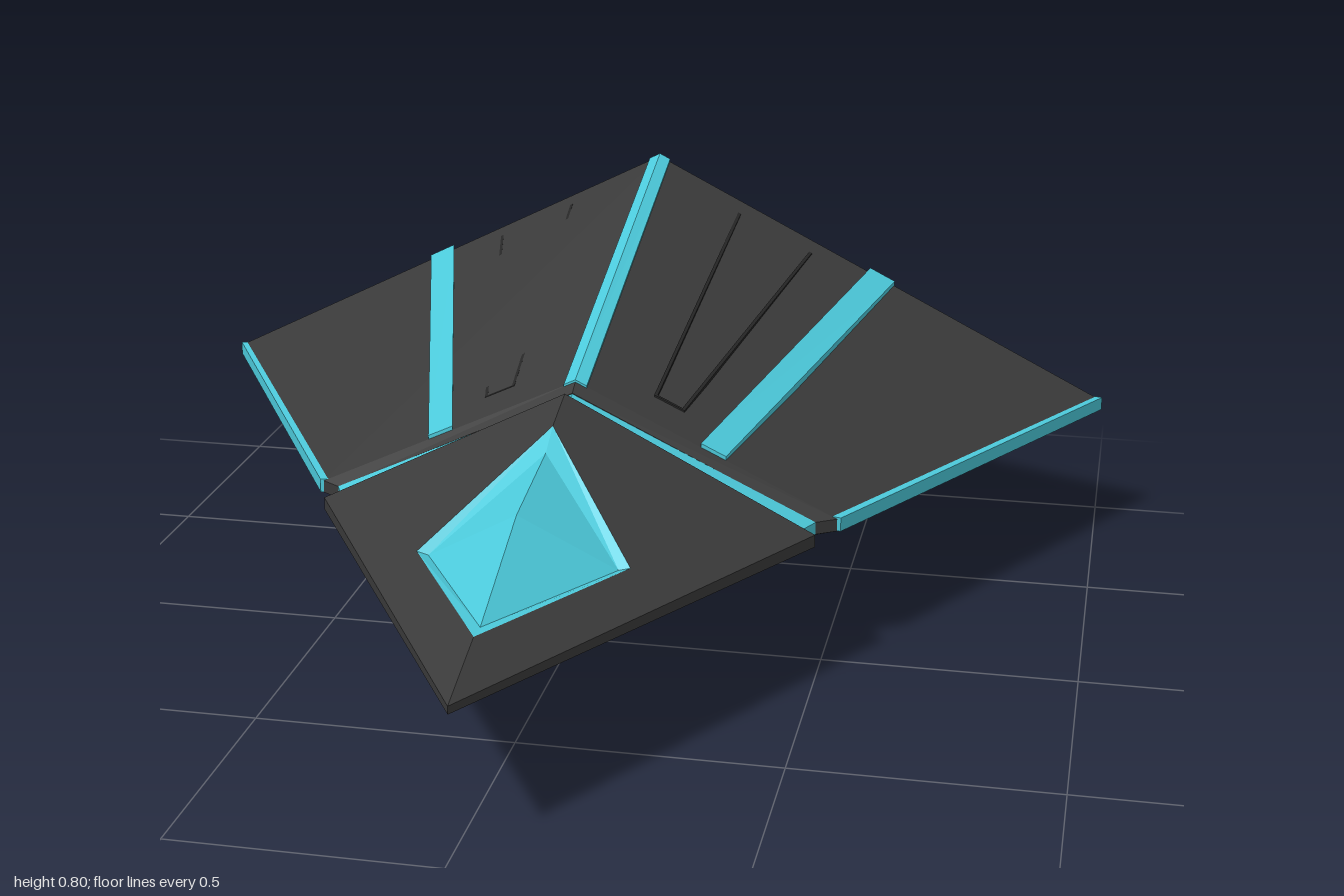
import * as THREE from 'three';

const hullGrey = new THREE.MeshStandardMaterial({ color: 0x3a3a3a });
hullGrey.name = 'hull grey';
const seamBlack = new THREE.MeshStandardMaterial({ color: 0x262626 });
seamBlack.name = 'seam black';
const glowCyan = new THREE.MeshStandardMaterial({ color: 0x4ccadb });
glowCyan.name = 'glow cyan';

const EDGE_TOP = 0.29, EDGE_LOW = 0.265;

function add(parent, name, geometry, material) {
  const mesh = new THREE.Mesh(geometry, material);
  mesh.name = name;
  parent.add(mesh);
  return mesh;
}

// Flat-shaded geometry from triangles of [x, y, z] points
function fromTriangles(tris) {
  const g = new THREE.BufferGeometry();
  g.setAttribute('position', new THREE.Float32BufferAttribute(tris.flat(2), 3));
  g.computeVertexNormals();
  return g;
}

function mirrored(tris) {
  const flip = ([x, y, z]) => [-x, y, z];
  return tris.concat(tris.map(([a, b, c]) => [flip(a), flip(c), flip(b)]));
}

// Skin over sections ordered back to front, each counterclockwise seen from the front
function loft(sections) {
  const tris = [], n = sections[0].length;
  for (let s = 0; s < sections.length - 1; s++) {
    const a = sections[s], b = sections[s + 1];
    for (let i = 0; i < n; i++) {
      const j = (i + 1) % n;
      tris.push([a[i], a[j], b[j]], [a[i], b[j], b[i]]);
    }
  }
  const back = sections[0], front = sections[sections.length - 1];
  for (let i = 1; i < n - 1; i++) {
    tris.push([back[0], back[i + 1], back[i]], [front[0], front[i], front[i + 1]]);
  }
  return fromTriangles(tris);
}

// Diamond cross-section with blunt side edges
function diamond(halfWidth, top, bottom, z) {
  return [
    [0, top, z], [-halfWidth, EDGE_TOP, z], [-halfWidth, EDGE_LOW, z],
    [0, bottom, z], [halfWidth, EDGE_LOW, z], [halfWidth, EDGE_TOP, z],
  ];
}

const hullWidth = (z) => 0.51 - z * 0.539;
const hullTop = (z) => 0.53 - z * 0.289;
const hullBottom = (z) => 0.135 + z * 0.15;
function hullY(x, z) {
  return hullTop(z) - (hullTop(z) - EDGE_TOP) * Math.abs(x) / hullWidth(z);
}

// Strip lying on the upper hull; xs run from +x to -x at each end
function strip(backXs, backZ, frontXs, frontZ, lift) {
  const section = (xs, z) => {
    const low = (x) => [x, hullY(x, z) - 0.015, z];
    return [...xs.map((x) => [x, hullY(x, z) + lift, z]), low(xs[xs.length - 1]), low(xs[0])];
  };
  return loft([section(backXs, backZ), section(frontXs, frontZ)]);
}

const span = (x, w, side) => [x * side + w / 2, x * side - w / 2];

// Engine facing local +z
function createEngine(name, R, depth) {
  const engine = new THREE.Group();
  engine.name = name;
  const profile = [
    [1.04, 0], [1.04, 0.03], [1, 0.03], [1, 0.07], [0.8, 0.07], [0.8, 0.09],
    [0.68, 0.09], [0.62, 0.05], [0, 0.05],
  ].map(([r, h]) => new THREE.Vector2(r * R, h * depth));
  const housing = new THREE.LatheGeometry(profile, 40).rotateX(Math.PI / 2).toNonIndexed();
  housing.computeVertexNormals();
  add(engine, 'engineHousing', housing, hullGrey);

  add(engine, 'engineGlowRing', new THREE.RingGeometry(0.93 * R, R, 40), glowCyan)
    .position.z = 0.0715 * depth;
  add(engine, 'engineDarkRing', new THREE.RingGeometry(0.7 * R, 0.74 * R, 40), seamBlack)
    .position.z = 0.0915 * depth;
  add(engine, 'engineWell', new THREE.CircleGeometry(0.62 * R, 40), seamBlack)
    .position.z = 0.0515 * depth;

  // Glowing turbine blades
  const blade = new THREE.Shape([
    new THREE.Vector2(0.26 * R, -0.03 * R), new THREE.Vector2(0.57 * R, -0.075 * R),
    new THREE.Vector2(0.57 * R, 0.075 * R), new THREE.Vector2(0.26 * R, 0.03 * R),
  ]);
  const bladeGeometry = new THREE.ShapeGeometry(blade);
  for (let i = 0; i < 10; i++) {
    const mesh = add(engine, 'engineBlade', bladeGeometry, glowCyan);
    mesh.position.z = 0.056 * depth;
    mesh.rotation.z = (i + 0.5) * Math.PI / 5;
  }
  const hub = new THREE.CylinderGeometry(0.16 * R, 0.24 * R, 0.03 * depth, 20).rotateX(Math.PI / 2);
  add(engine, 'engineHub', hub, hullGrey).position.z = 0.065 * depth;
  engine.rotation.y = Math.PI;
  return engine;
}

export function createModel() {
  const ship = new THREE.Group();
  ship.name = 'wedgeShip';

  // Main hull with recessed rear panel and chamfered front
  add(ship, 'mainHull', loft([
    diamond(0.87, 0.735, 0.045, -0.885),
    diamond(0.87, 0.735, 0.045, -0.9),
    diamond(0.993, hullTop(-0.9), 0, -0.9),
    diamond(hullWidth(-0.02), hullTop(-0.02), hullBottom(-0.02), -0.02),
    diamond(0.48, 0.52, 0.145, 0.008),
  ]), hullGrey);

  // Glowing collar between hull and nose
  add(ship, 'glowCollar', loft([
    diamond(0.485, 0.52, 0.15, 0), diamond(0.45, 0.505, 0.16, 0.08),
  ]), glowCyan);

  // Nose with a diamond opening for the canopy
  const R = [0, 0.54, 0.075], E = [0.49, EDGE_TOP, 0.075], E2 = [0.49, EDGE_LOW, 0.075];
  const K = [0, 0.15, 0.075], T = [0, 0.28, 0.965], T2 = [0, 0.265, 0.965];
  const B = [0, 0.509, 0.18], S = [0.2, 0.334, 0.43], F = [0, 0.331, 0.79];
  add(ship, 'nose', fromTriangles(mirrored([
    [R, B, E], [B, S, E], [S, T, E], [S, F, T],
    [E, T, T2], [E, T2, E2], [E2, T2, K], [R, E, E2], [R, E2, K],
  ])), hullGrey);

  // Canopy: sunken rim around a faceted peak
  const Bi = [0, 0.475, 0.24], Si = [0.178, 0.328, 0.43], Fi = [0, 0.33, 0.745];
  const A = [0, 0.437, 0.475];
  add(ship, 'canopy', fromTriangles(mirrored([
    [B, Bi, Si], [B, Si, S], [S, Si, Fi], [S, Fi, F], [Bi, A, Si], [A, Fi, Si],
  ])), glowCyan);

  // Glowing stripes on the ridge, flanks and side edges
  const ridge = [0.023, 0, -0.023];
  add(ship, 'ridgeStripe', strip(ridge, -0.904, ridge, -0.018, 0.004), glowCyan);
  for (const side of [1, -1]) {
    add(ship, 'flankStripe',
      strip(span(0.505, 0.055, side), -0.904, span(0.275, 0.05, side), -0.02, 0.008), glowCyan);

    const edge = (w, z) => {
      const pts = [[w, EDGE_TOP + 0.003, z], [w - 0.07, 0.3, z], [w - 0.07, 0.275, z], [w, EDGE_LOW, z]]
        .map(([x, y, d]) => [x * side, y, d]);
      return side > 0 ? pts : pts.reverse();
    };
    add(ship, 'edgeStripe', loft([edge(1, -0.904), edge(hullWidth(-0.02) + 0.007, -0.02)]), glowCyan);

    // Panel seams
    const seam = (xb, zb, xf, zf, w) => add(ship, 'panelSeam',
      strip(span(xb, w, side), zb, span(xf, w, side), zf, 0.0015), seamBlack);
    seam(0.35, -0.85, 0.2, -0.1, 0.006);
    seam(0.19, -0.85, 0.145, -0.1, 0.006);
    seam(0.172, -0.105, 0.172, -0.1, 0.06);

    const small = createEngine('smallEngine', 0.137, 0.62);
    small.position.set(0.47 * side, 0.34, -0.88);
    ship.add(small);
  }

  const main = createEngine('mainEngine', 0.297, 1);
  main.position.set(0, 0.4, -0.88);
  ship.add(main);
  return ship;
}
